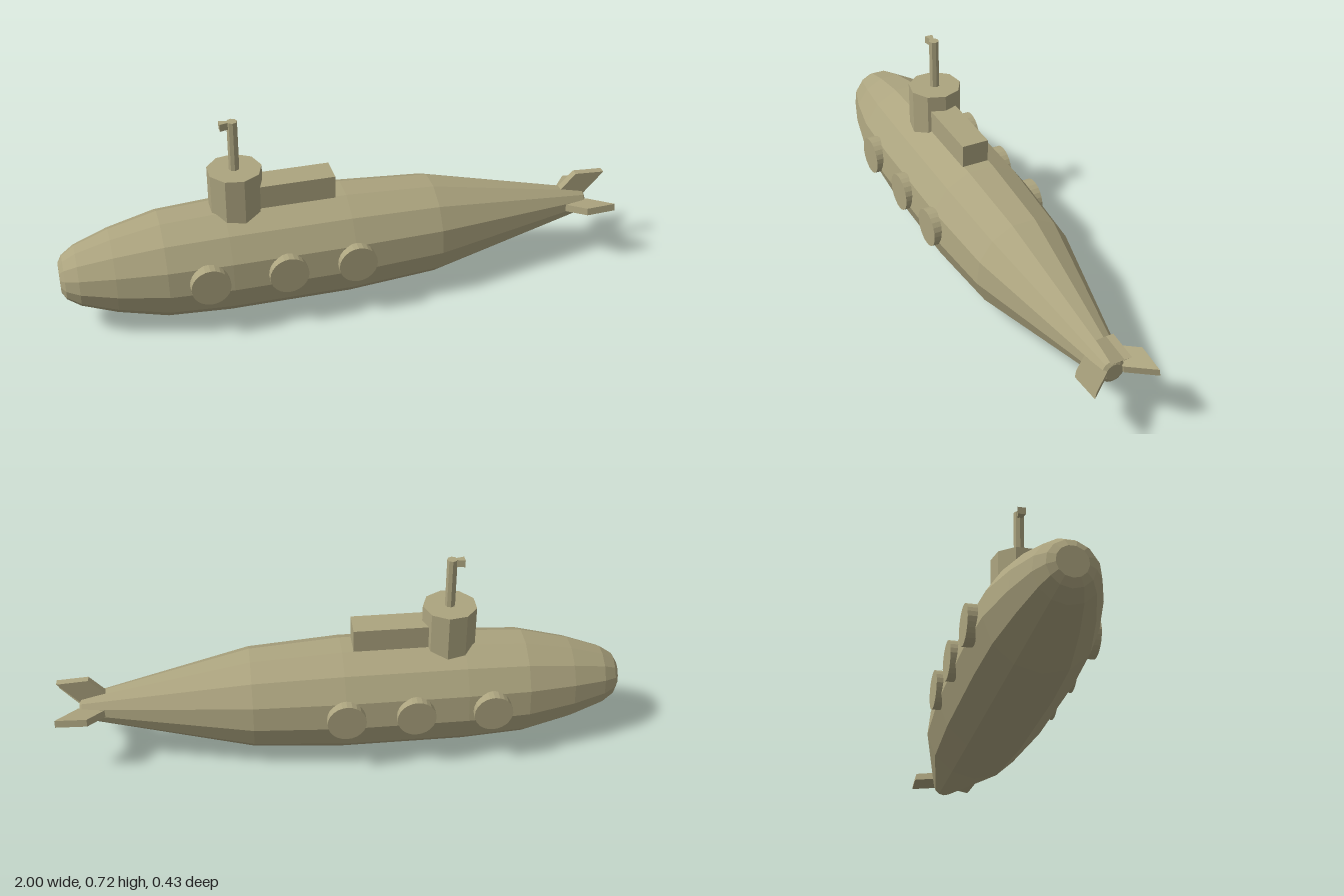
import * as THREE from 'three';

export function createModel() {
  const model = new THREE.Group();
  model.name = 'submarine';
  const khaki = new THREE.MeshStandardMaterial({ color: 0xaca47f, flatShading: true });
  khaki.name = 'khaki';

  const add = (name, geometry, x = 0, y = 0, z = 0) => {
    const mesh = new THREE.Mesh(geometry, khaki);
    mesh.name = name;
    mesh.position.set(x, y, z);
    model.add(mesh);
    return mesh;
  };

  // Extrude an outline centred on its thickness
  const plate = (points, thickness) => {
    const shape = new THREE.Shape(points.map(([x, y]) => new THREE.Vector2(x, y)));
    return new THREE.ExtrudeGeometry(shape, { depth: thickness, bevelEnabled: false })
      .translate(0, 0, -thickness / 2);
  };

  // Hull: thirteen-sided lathe along x, [radius, x]
  const profile = [
    [0, -1], [0.052, -1], [0.078, -0.985], [0.108, -0.94], [0.15, -0.82], [0.19, -0.65],
    [0.2025, -0.43], [0.2025, 0], [0.181, 0.32], [0.043, 0.912], [0.03, 0.92], [0, 0.92],
  ].map(([r, x]) => new THREE.Vector2(r, x));
  const hull = new THREE.LatheGeometry(profile, 13, Math.PI / 2).rotateZ(-Math.PI / 2);
  hull.scale(1, 1, 0.97);
  add('hull', hull, 0, 0.2025, 0);

  // Conning tower with the low deck house behind it
  add('tower', new THREE.CylinderGeometry(0.095, 0.095, 0.18, 9, 1, false, Math.PI / 2), -0.38, 0.45, 0);
  add('deckHouse', new THREE.BoxGeometry(0.29, 0.12, 0.097), -0.185, 0.422, 0.002);

  // Periscope post and flared eyepiece
  add('periscopePost', new THREE.CylinderGeometry(0.018, 0.018, 0.2, 8), -0.38, 0.622, 0);
  const head = plate([[-0.423, -0.014], [-0.39, -0.006], [-0.39, 0.006], [-0.423, 0.014]], 0.026);
  add('periscopeHead', head.rotateX(-Math.PI / 2), 0, 0.709, 0);

  // Three portholes on each side
  for (const side of [-1, 1]) {
    for (const x of [-0.513, -0.243, 0]) {
      const disc = new THREE.CylinderGeometry(0.068, 0.068, 0.06, 24).rotateX(Math.PI / 2);
      add('porthole', disc, x, 0.216, side * 0.183);
    }
  }

  // Swept tail fins: one upright, two slightly raised at the sides
  const outline = [[0.8, 0.035], [0.88, 0.122], [0.99, 0.115], [0.915, 0.032], [0.86, 0.02]];
  for (const [name, degrees] of [['topFin', 0], ['leftFin', 80], ['rightFin', -80]]) {
    const fin = add(name, plate(outline, 0.026), degrees ? 0.01 : 0, 0.2, 0);
    fin.rotation.x = THREE.MathUtils.degToRad(degrees);
  }

  return model;
}
